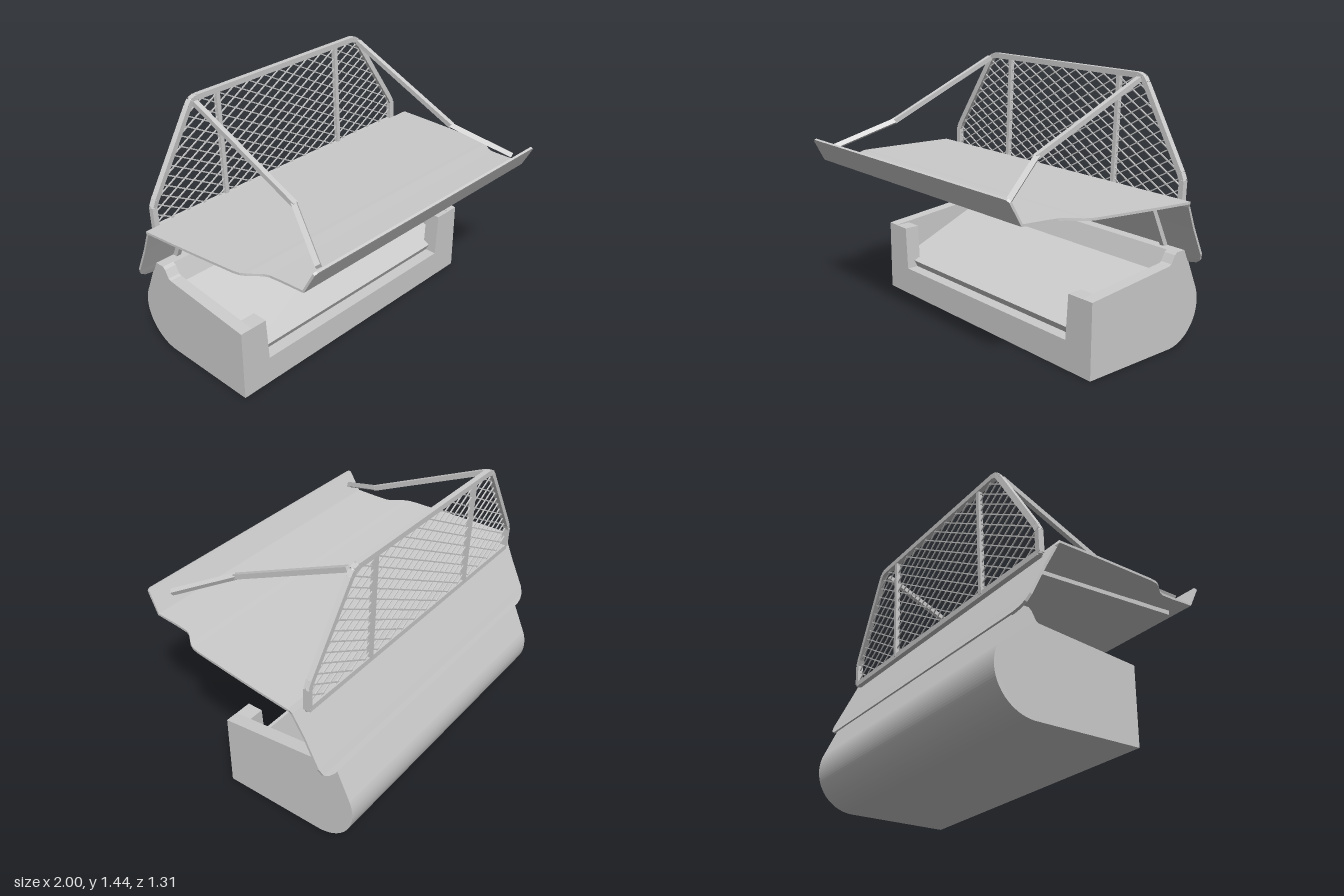
import * as THREE from 'three';

const grey = new THREE.MeshStandardMaterial({ color: 0xcccccc, flatShading: true });

function addMesh(parent, name, geometry) {
  const mesh = new THREE.Mesh(geometry, grey);
  mesh.name = name;
  parent.add(mesh);
  return mesh;
}

// Extrudes a (z, y) side profile along x, centred on cx
function sideExtrude(shape, width, cx) {
  const g = new THREE.ExtrudeGeometry(shape, { depth: width, bevelEnabled: false, curveSegments: 16 });
  return g.translate(0, 0, -width / 2).rotateY(-Math.PI / 2).translate(cx, 0, 0);
}

// Square bar between two points
function bar(parent, name, a, b, w, d = w) {
  const A = new THREE.Vector3(...a), B = new THREE.Vector3(...b);
  const dir = B.clone().sub(A);
  const mesh = addMesh(parent, name, new THREE.BoxGeometry(w, dir.length(), d));
  mesh.position.copy(A).add(B).multiplyScalar(0.5);
  mesh.quaternion.setFromUnitVectors(new THREE.Vector3(0, 1, 0), dir.normalize());
  return mesh;
}

// Closed profile whose back is the rounded tub outline
function tubProfile(topPoints) {
  const s = new THREE.Shape();
  s.moveTo(0.15, 0);
  topPoints.forEach(([z, y]) => s.lineTo(z, y));
  s.lineTo(-0.53, 0.535);
  s.absarc(-0.43, 0.22, 0.22, THREE.MathUtils.degToRad(158), Math.PI * 1.5, false);
  s.closePath();
  return s;
}

function buildTub() {
  const tub = new THREE.Group();
  tub.name = 'tub';
  // Sloping floor and back rim between the side walls
  const floor = tubProfile([[0.15, 0.16], [0.08, 0.16], [0.1, 0.2], [-0.42, 0.42], [-0.46, 0.535]]);
  addMesh(tub, 'tubFloor', sideExtrude(floor, 1.6, 0));
  const wall = tubProfile([[0.15, 0.412], [-0.41, 0.47], [-0.425, 0.478], [-0.45, 0.522], [-0.465, 0.535]]);
  for (const s of [-1, 1]) {
    addMesh(tub, 'tubSideWall', sideExtrude(wall, 0.07, s * 0.835));
    // Front corner post beside the loading opening
    const post = new THREE.Shape([[0.8, 0.1], [0.8, 0.411], [0.705, 0.411], [0.69, 0.16], [0.69, 0.1]]
      .map(([x, y]) => new THREE.Vector2(s * x, y)));
    const g = new THREE.ExtrudeGeometry(post, { depth: 0.09, bevelEnabled: false });
    addMesh(tub, 'tubFrontPost', g.translate(0, 0, 0.06));
  }
  return tub;
}

// Folded sheet: stations of z, y and half width, swept from front lip to rear flap
function roofGeometry() {
  const t = 0.013;
  const st = [
    [0.65, 1.01, 0.835], [0.645, 1.0, 0.85], [0.585, 0.887, 0.857], [0.45, 0.881, 0.862], [0.38, 0.878, 0.868],
    [0.35, 0.877, 0.88], [0.29, 0.875, 0.93], [0.26, 0.873, 0.945], [0.22, 0.871, 0.953], [0, 0.862, 0.972],
    [-0.2, 0.854, 0.988], [-0.385, 0.847, 1.0], [-0.4, 0.82, 0.987], [-0.46, 0.697, 0.976],
    [-0.535, 0.54, 0.974], [-0.552, 0.503, 0.96], [-0.562, 0.483, 0.93], [-0.567, 0.473, 0.89],
  ];
  const pos = [], index = [];
  st.forEach(([z, y, w], i) => {
    const a = st[Math.max(i - 1, 0)], b = st[Math.min(i + 1, st.length - 1)];
    const dz = b[0] - a[0], dy = b[1] - a[1], l = Math.hypot(dz, dy);
    const oz = (dy / l) * t, oy = (-dz / l) * t; // offset to the upper face
    pos.push(-w, y, z, w, y, z, w, y - oy, z - oz, -w, y - oy, z - oz);
  });
  for (let i = 0; i < st.length - 1; i++) {
    for (let k = 0; k < 4; k++) {
      const a = i * 4 + k, b = i * 4 + ((k + 1) % 4);
      index.push(a, b, b + 4, a, b + 4, a + 4);
    }
  }
  const e = (st.length - 1) * 4;
  index.push(0, 2, 1, 0, 3, 2, e, e + 1, e + 2, e, e + 2, e + 3);
  const g = new THREE.BufferGeometry();
  g.setAttribute('position', new THREE.Float32BufferAttribute(pos, 3));
  g.setIndex(index);
  const flat = g.toNonIndexed();
  flat.computeVertexNormals();
  return flat;
}

function buildRoof() {
  const roof = new THREE.Group();
  roof.name = 'roof';
  const sheet = addMesh(roof, 'roofPanel', roofGeometry());
  sheet.material = grey.clone();
  sheet.material.side = THREE.DoubleSide;
  // Bent struts carrying the roof from the tub rim
  const s = new THREE.Shape();
  s.moveTo(0.53, 0.873);
  s.lineTo(0.53, 0.847);
  s.lineTo(-0.29, 0.815);
  s.quadraticCurveTo(-0.36, 0.81, -0.39, 0.755);
  s.lineTo(-0.5, 0.52);
  s.lineTo(-0.53, 0.52);
  s.lineTo(-0.418, 0.762);
  s.quadraticCurveTo(-0.38, 0.835, -0.3, 0.84);
  s.closePath();
  for (const side of [-1, 1]) addMesh(roof, 'roofStrut', sideExtrude(s, 0.028, side * 0.743));
  return roof;
}

function buildRack() {
  const rack = new THREE.Group();
  rack.name = 'rearScreen';
  // The screen leans back slightly and bows at the middle
  const at = (x, y) => [x, y, -0.425 - 0.04 * (y - 0.8) - 0.008 * (1 - x * x)];
  const half = [[0.91, 0.81], [0.91, 0.93], [0.893, 0.965], [0.625, 1.385], [0.605, 1.41], [0.575, 1.42]];
  const outline = [...half, ...half.map(([x, y]) => [-x, y]).reverse()];
  outline.forEach((p, i) => {
    const q = outline[(i + 1) % outline.length];
    bar(rack, 'screenFrame', at(...p), at(...q), 0.03);
    const joint = addMesh(rack, 'frameJoint', new THREE.SphereGeometry(0.016, 8, 6));
    joint.position.set(...at(...p));
  });
  for (const s of [-1, 1]) {
    bar(rack, 'screenPost', at(s * 0.435, 0.81), at(s * 0.435, 1.42), 0.024);
    // Side stays run forward and splay out to the front lip
    bar(rack, 'upperStay', [s * 0.6, 1.405, -0.425], [s * 0.6, 1.098, 0.28], 0.027);
    bar(rack, 'lowerStay', [s * 0.598, 1.101, 0.272], [s * 0.755, 0.965, 0.585], 0.027);
  }

  // Diamond wire mesh, each wire clipped to the convex frame outline
  const slope = 0.56, pitch = 0.06;
  for (const s of [-1, 1]) {
    for (let c = 0.2; c < 2.2; c += pitch) {
      let lo = -0.91, hi = 0.91;
      outline.forEach(([px, py], i) => {
        const [qx, qy] = outline[(i + 1) % outline.length];
        const ex = qx - px, ey = qy - py;
        const k = ex * s * slope - ey;             // inside where k * x + m >= 0
        const m = ex * (c - py) + ey * px;
        if (Math.abs(k) < 1e-9) { if (m < 0) hi = -2; return; }
        if (k > 0) lo = Math.max(lo, -m / k);
        else hi = Math.min(hi, -m / k);
      });
      if (hi - lo > 0.02) {
        bar(rack, 'meshWire', at(lo, c + s * slope * lo), at(hi, c + s * slope * hi), 0.006);
      }
    }
  }
  return rack;
}

export function createModel() {
  const model = new THREE.Group();
  model.name = 'cargoTubWithRoof';
  model.add(buildTub(), buildRoof(), buildRack());
  return model;
}
